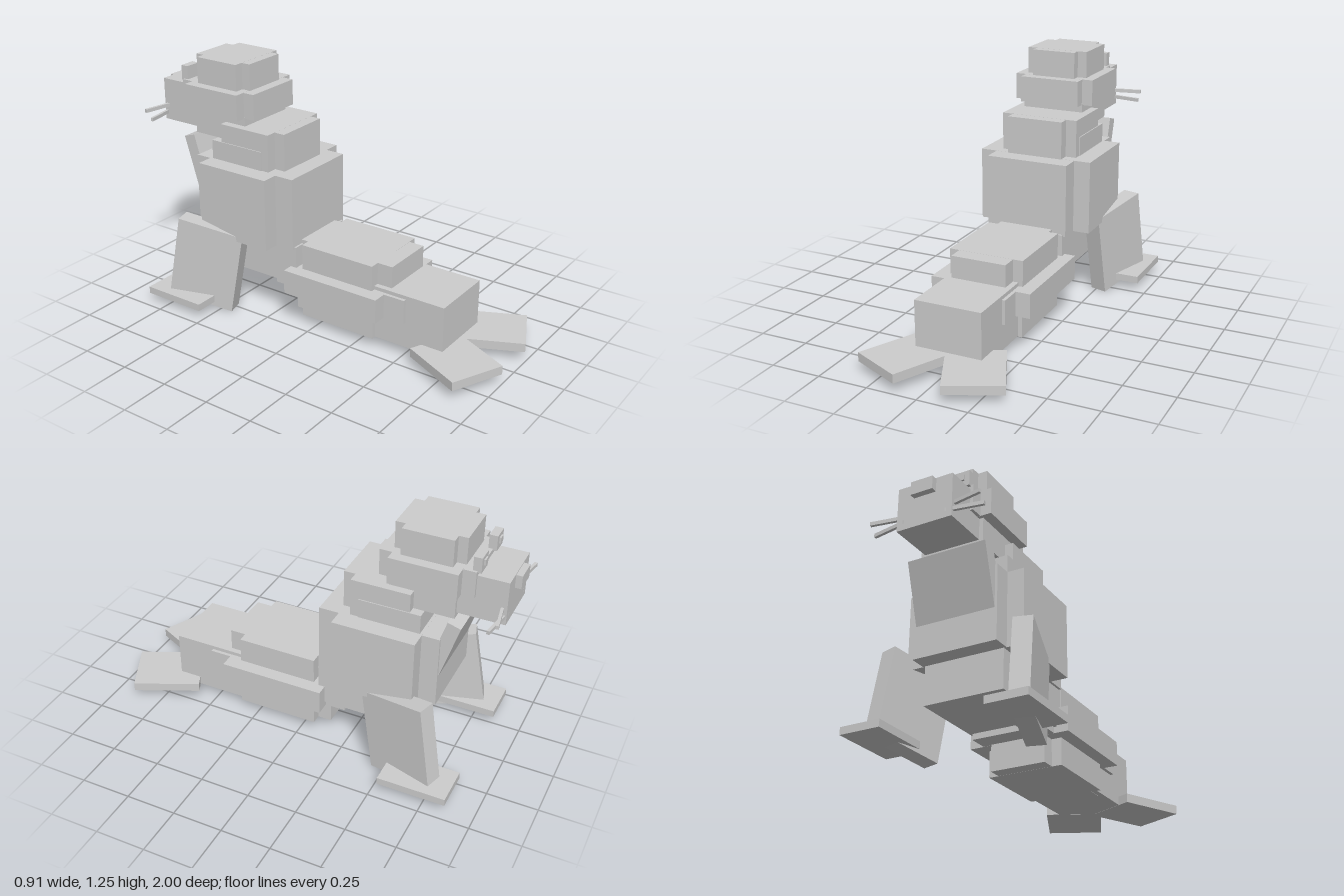
import * as THREE from 'three';

export function createModel() {
  const model = new THREE.Group();
  model.name = 'seal';
  const grey = new THREE.MeshStandardMaterial({ color: 0xcccccc });
  grey.name = 'grey';

  // Box from its extents, symmetric or off-centre in x
  function block(name, [x0, x1], [y0, y1], [z0, z1]) {
    const mesh = new THREE.Mesh(new THREE.BoxGeometry(x1 - x0, y1 - y0, z1 - z0), grey);
    mesh.position.set((x0 + x1) / 2, (y0 + y1) / 2, (z0 + z1) / 2);
    mesh.name = name;
    model.add(mesh);
    return mesh;
  }

  // Block with notched corners: a wide short box crossed with a narrow long one
  function notched(name, wide, narrow, y, shortZ, longZ) {
    block(name + 'Sides', [-wide, wide], y, shortZ);
    block(name + 'Ends', [-narrow, narrow], [y[0] + 0.0004, y[1] - 0.0004], longZ);
  }

  // Box placed by its centre and turned by pitch and yaw
  function turned(name, size, centre, pitch, yaw) {
    const mesh = new THREE.Mesh(new THREE.BoxGeometry(...size), grey);
    mesh.position.set(...centre);
    mesh.rotation.set(pitch, yaw, 0, 'YXZ');
    mesh.name = name;
    model.add(mesh);
  }

  // Head, stacked from the crown down
  notched('crown', 0.16, 0.113, [1.12, 1.255], [-0.72, -0.477], [-0.765, -0.43]);
  notched('brow', 0.21, 0.155, [0.992, 1.123], [-0.763, -0.437], [-0.825, -0.377]);
  block('jaw', [-0.16, 0.16], [0.863, 1.0], [-0.745, -0.43]);
  block('muzzle', [-0.14, 0.14], [0.885, 1.1], [-0.97, -0.74]);
  block('nose', [-0.056, 0.056], [1.03, 1.095], [-1.0, -0.965]);

  // Neck, chest and belly
  notched('neck', 0.2, 0.145, [0.76, 0.955], [-0.55, -0.26], [-0.553, -0.203]);
  block('throat', [-0.205, 0.205], [0.6, 0.863], [-0.605, -0.3]);
  notched('chest', 0.296, 0.212, [0.4, 0.767], [-0.617, -0.21], [-0.703, -0.11]);
  turned('bib', [0.4, 0.4, 0.066], [0, 0.662, -0.701], -0.3, 0);
  block('belly', [-0.2, 0.2], [0.21, 0.41], [-0.62, -0.1]);

  // Hind body and tail
  notched('back', 0.19, 0.14, [0.29, 0.43], [-0.07, 0.335], [-0.135, 0.415]);
  notched('hip', 0.257, 0.185, [0.18, 0.302], [-0.133, 0.4], [-0.235, 0.51]);
  notched('underside', 0.19, 0.14, [0.048, 0.2], [-0.07, 0.342], [-0.14, 0.415]);
  block('tail', [-0.168, 0.168], [0.05, 0.32], [0.2, 0.713]);

  // Mirrored parts
  for (const s of [1, -1]) {
    const side = s > 0 ? 'left' : 'right';
    const span = (a, b) => (s > 0 ? [a, b] : [-b, -a]);
    block(side + 'Eye', span(0.062, 0.143), [1.115, 1.19], [-0.842, -0.803]);
    block(side + 'Pupil', span(0.086, 0.119), [1.143, 1.172], [-0.85, -0.84]);
    turned(side + 'UpperWhisker', [0.18, 0.018, 0.014], [s * 0.192, 0.962, -0.957], 0, s * 0.17);
    turned(side + 'LowerWhisker', [0.18, 0.018, 0.014], [s * 0.192, 0.924, -0.949], 0, s * -0.17);
    turned(side + 'FrontFlipper', [0.09, 0.426, 0.346], [s * 0.302, 0.24, -0.577], 0.17, s * -0.285);
    block(side + 'FrontFoot', span(0.25, 0.453), [0.04, 0.076], [-0.862, -0.525]);
    turned(side + 'HindFlipper', [0.277, 0.044, 0.336], [s * 0.171, 0.071, 0.785], 0, s * 0.436);
  }
  return model;
}
